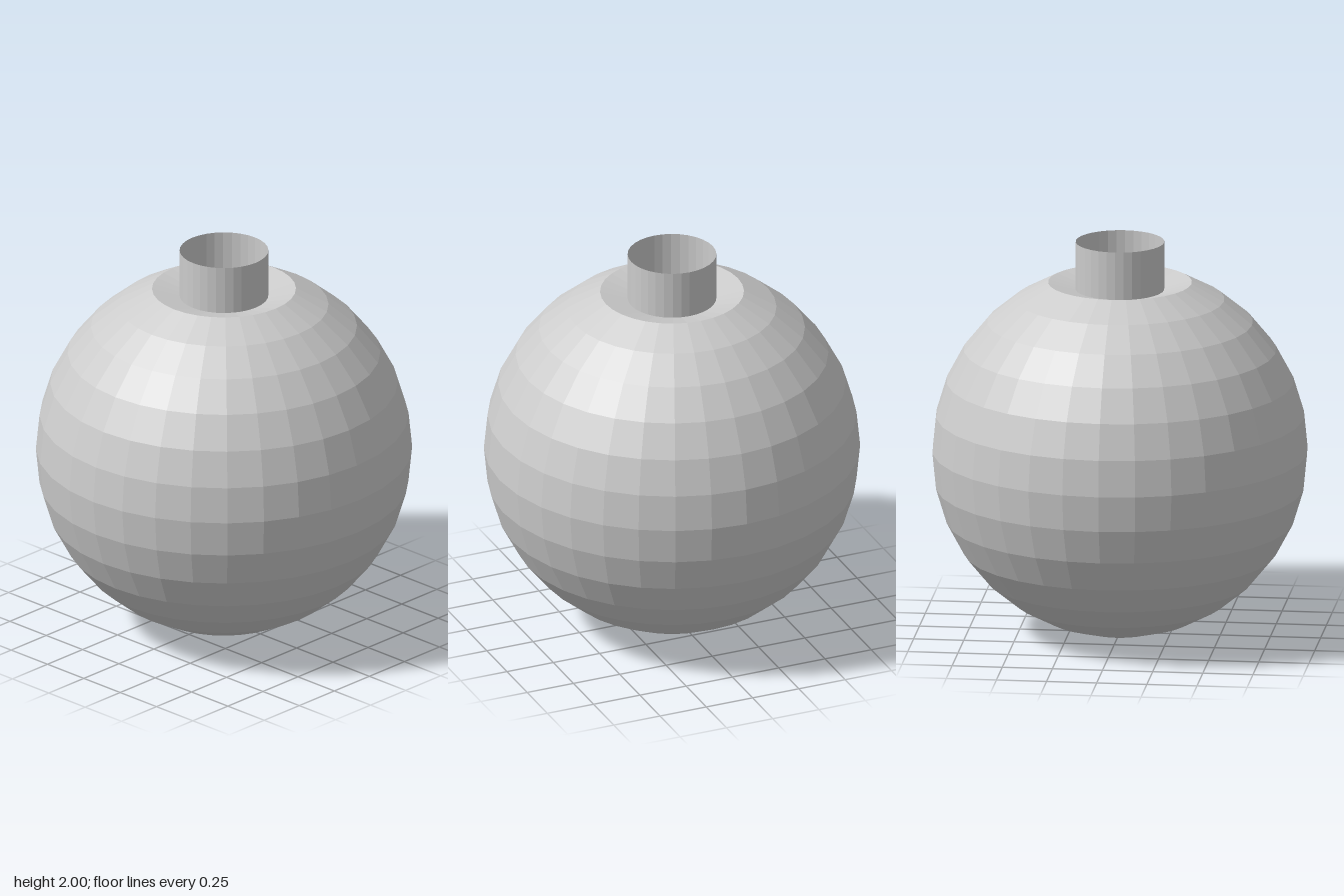
import * as THREE from 'three';

const R = 0.932; // body radius; the body rests on y = 0
const SIDES = 32;
const CUT = Math.PI / 8; // polar angle of the opening
const NECK_R = 0.22;
const NECK_BASE = 1.757;

export function createModel() {
  const group = new THREE.Group();
  const material = new THREE.MeshStandardMaterial({
    color: 0xcccccc, flatShading: true, side: THREE.DoubleSide,
  });
  const add = (name, geometry, y = 0) => {
    const mesh = new THREE.Mesh(geometry, material);
    mesh.name = name;
    mesh.position.y = y;
    group.add(mesh);
  };

  // Hollow faceted body, cut off two rings below its pole
  add('body', new THREE.SphereGeometry(R, SIDES, 14, 0, Math.PI * 2, CUT, Math.PI - CUT), R);

  // Shallow dished collar from the opening down to the neck
  add('collar', new THREE.LatheGeometry([
    new THREE.Vector2(NECK_R, NECK_BASE),
    new THREE.Vector2(R * Math.sin(CUT), R + R * Math.cos(CUT)),
  ], SIDES));

  // Open tube neck
  const height = 2 - NECK_BASE;
  add('neck', new THREE.CylinderGeometry(NECK_R, NECK_R, height, SIDES, 1, true), NECK_BASE + height / 2);

  return group;
}
